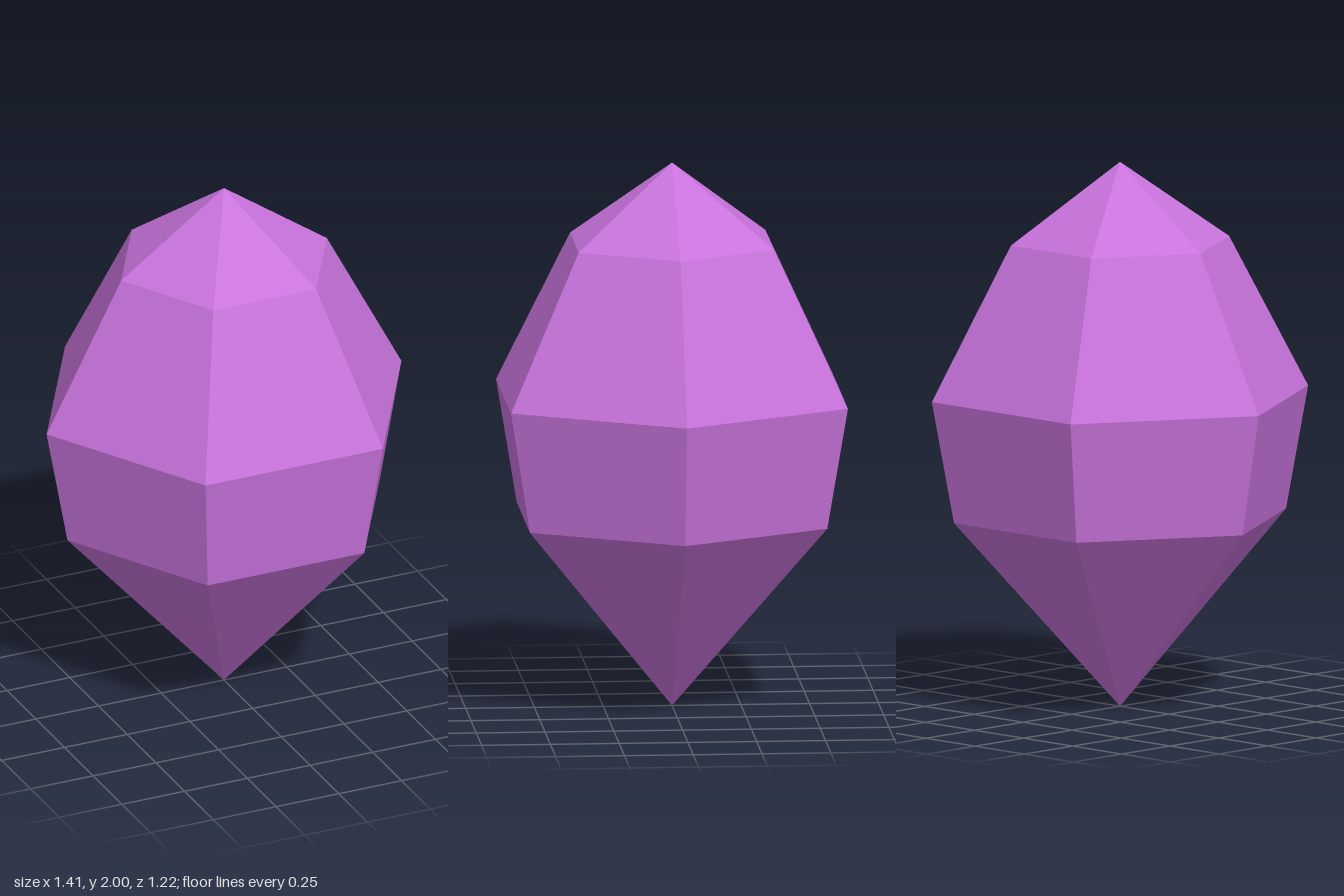
import * as THREE from 'three';

export function createModel() {
  const group = new THREE.Group();
  group.name = 'crystal';

  const violet = new THREE.MeshStandardMaterial({ color: 0xc873dc, flatShading: true });
  violet.name = 'violet';

  // Six-sided gem: profile as [radius, height] from the bottom tip to the top tip
  const profile = [[0, 0], [0.624, 0.7], [0.707, 1.148], [0.41, 1.71], [0, 2]]
    .map(([r, y]) => new THREE.Vector2(r, y));

  // Start a quarter turn round so that corners lie on the x axis
  const gem = new THREE.Mesh(new THREE.LatheGeometry(profile, 6, Math.PI / 2), violet);
  gem.name = 'gem';
  group.add(gem);

  return group;
}
